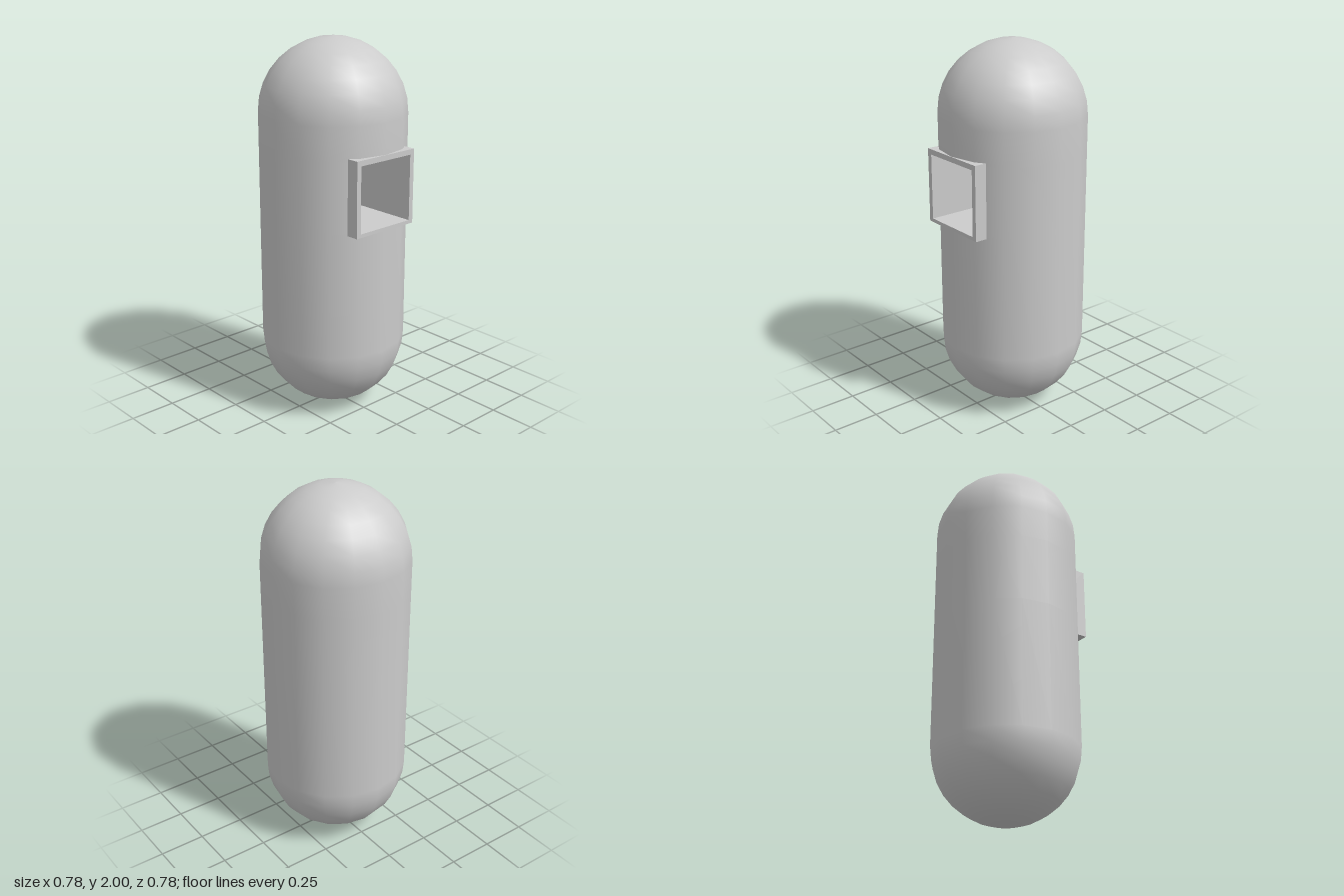
import * as THREE from 'three';

const R = 0.3885, HEIGHT = 2, SIDES = 16, CAP_RINGS = 8, BODY_Z = -0.0015;
// Window cut in the shell; its edges are buried in the niche walls
const CUT = { x: 0.186, bottom: 1.067, top: 1.437 };

const material = new THREE.MeshStandardMaterial({ color: 0xcccccc });
const doubleSided = new THREE.MeshStandardMaterial({ color: 0xcccccc, side: THREE.DoubleSide });

function addMesh(parent, name, geometry, mat = material) {
  const mesh = new THREE.Mesh(geometry, mat);
  mesh.name = name;
  parent.add(mesh);
  return mesh;
}

// Half of the capsule profile, from the pole to the edge of the window band
function domeProfile(isTop) {
  const points = [];
  for (let i = 0; i <= CAP_RINGS; i++) {
    const a = (i / CAP_RINGS) * Math.PI / 2;
    const r = R * Math.sin(a), y = R - R * Math.cos(a);
    points.push(new THREE.Vector2(r, isTop ? HEIGHT - y : y));
  }
  points.push(new THREE.Vector2(R, isTop ? CUT.top : CUT.bottom));
  return isTop ? points.reverse() : points;
}

// Wall band around the body, left open at the front between x = -CUT.x and +CUT.x
function windowBand() {
  const corner = i => {
    const a = (i / SIDES) * Math.PI * 2;
    return new THREE.Vector2(R * Math.sin(a), R * Math.cos(a));
  };
  const a = corner(1), b = corner(2);
  const start = a.clone().lerp(b, (CUT.x - a.x) / (b.x - a.x));
  const ring = [start];
  for (let i = 2; i <= SIDES - 2; i++) ring.push(corner(i));
  ring.push(new THREE.Vector2(-start.x, start.y));

  const positions = [], normals = [], indices = [];
  ring.forEach((p, i) => {
    const n = p.clone().normalize();
    for (const y of [CUT.bottom, CUT.top]) {
      positions.push(p.x, y, p.y);
      normals.push(n.x, 0, n.y);
    }
    if (i > 0) {
      const k = (i - 1) * 2;
      indices.push(k, k + 2, k + 1, k + 1, k + 2, k + 3);
    }
  });
  const geometry = new THREE.BufferGeometry();
  geometry.setAttribute('position', new THREE.Float32BufferAttribute(positions, 3));
  geometry.setAttribute('normal', new THREE.Float32BufferAttribute(normals, 3));
  geometry.setIndex(indices);
  return geometry;
}

function rectangle(PathType, x, bottom, top) {
  const corners = [[-x, bottom], [x, bottom], [x, top], [-x, top]];
  return new PathType(corners.map(c => new THREE.Vector2(...c)));
}

export function createModel() {
  const model = new THREE.Group();
  model.name = 'capsuleWithNiche';

  // Capsule shell
  const body = new THREE.Group();
  body.name = 'body';
  body.position.z = BODY_Z;
  model.add(body);
  addMesh(body, 'lowerBody', new THREE.LatheGeometry(domeProfile(false), SIDES), doubleSided);
  addMesh(body, 'middleBody', windowBand(), doubleSided);
  addMesh(body, 'upperBody', new THREE.LatheGeometry(domeProfile(true), SIDES), doubleSided);

  // Square niche: a tube with its front flush with the body, closed at the back
  const niche = new THREE.Group();
  niche.name = 'niche';
  model.add(niche);
  const front = 0.39, back = -0.01, panel = 0.025;
  const outline = rectangle(THREE.Shape, 0.199, 1.058, 1.452);
  outline.holes.push(rectangle(THREE.Path, 0.172, 1.077, 1.424));
  const walls = new THREE.ExtrudeGeometry(outline, { depth: front - back, bevelEnabled: false });
  addMesh(niche, 'nicheWalls', walls).position.z = back;
  addMesh(niche, 'nicheBack', new THREE.BoxGeometry(0.398, 0.394, panel))
    .position.set(0, 1.255, back - panel / 2);

  return model;
}
